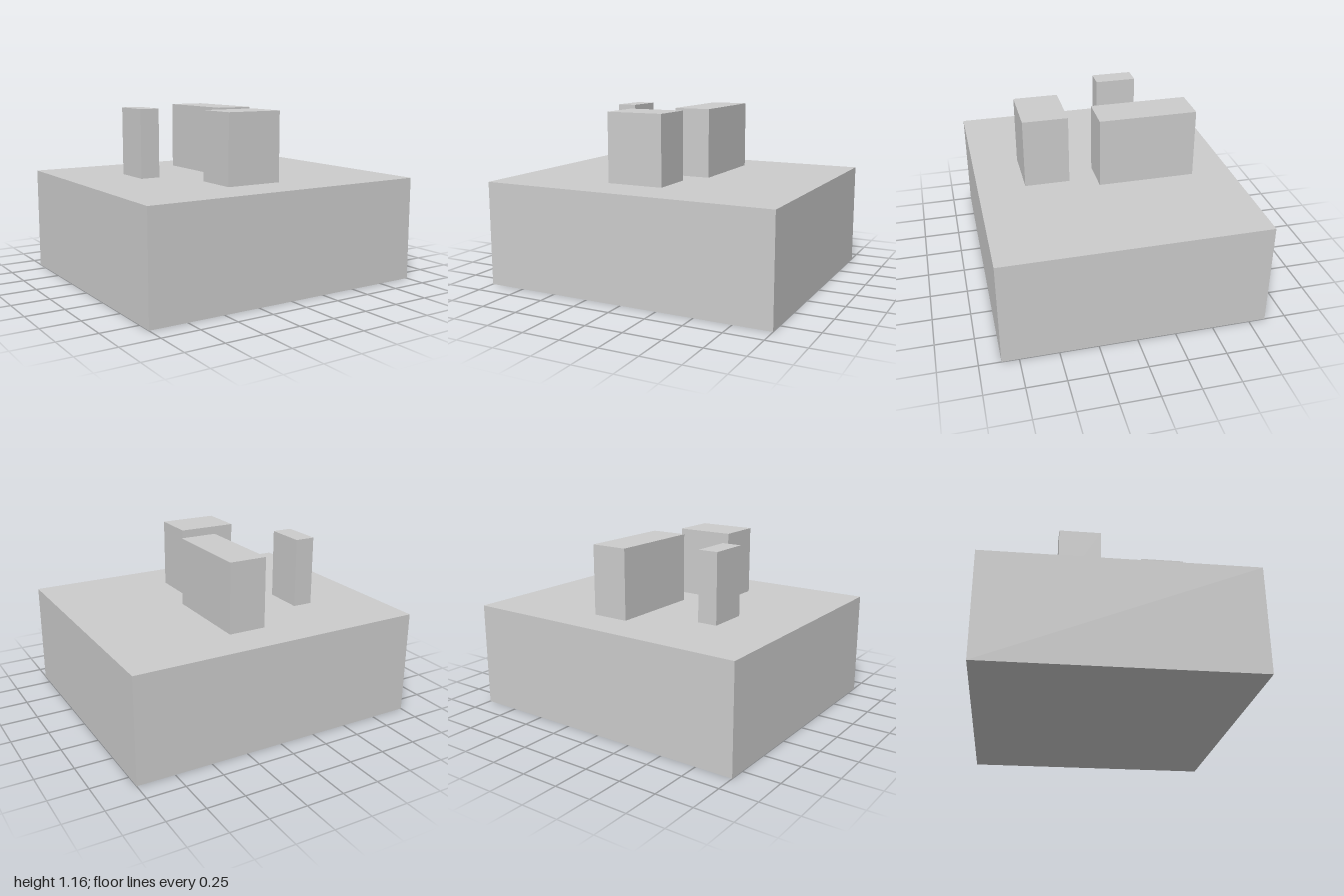
import * as THREE from 'three';

const BASE_TOP = 0.7;
const BLOCK_TOP = 1.165;

export function createModel() {
  const model = new THREE.Group();
  model.name = 'blocksOnBase';
  const material = new THREE.MeshStandardMaterial({ color: 0xcccccc, flatShading: true });

  // Adds a box given its extents along each axis
  function addBox(name, [x0, x1], [y0, y1], [z0, z1]) {
    const mesh = new THREE.Mesh(new THREE.BoxGeometry(x1 - x0, y1 - y0, z1 - z0), material);
    mesh.position.set((x0 + x1) / 2, (y0 + y1) / 2, (z0 + z1) / 2);
    mesh.name = name;
    model.add(mesh);
  }

  // Solid slab
  addBox('base', [-1, 1], [0, BASE_TOP], [-0.86, 0.86]);

  // Upright blocks of equal height: name, x extent, z extent
  const blocks = [
    ['frontBlock', [-0.267, 0.124], [0.245, 0.545]],
    ['longBlock', [-0.027, 0.226], [-0.592, 0.059]],
    ['smallBlock', [-0.557, -0.422], [-0.352, -0.074]],
  ];
  for (const [name, x, z] of blocks) addBox(name, x, [BASE_TOP, BLOCK_TOP], z);

  return model;
}
